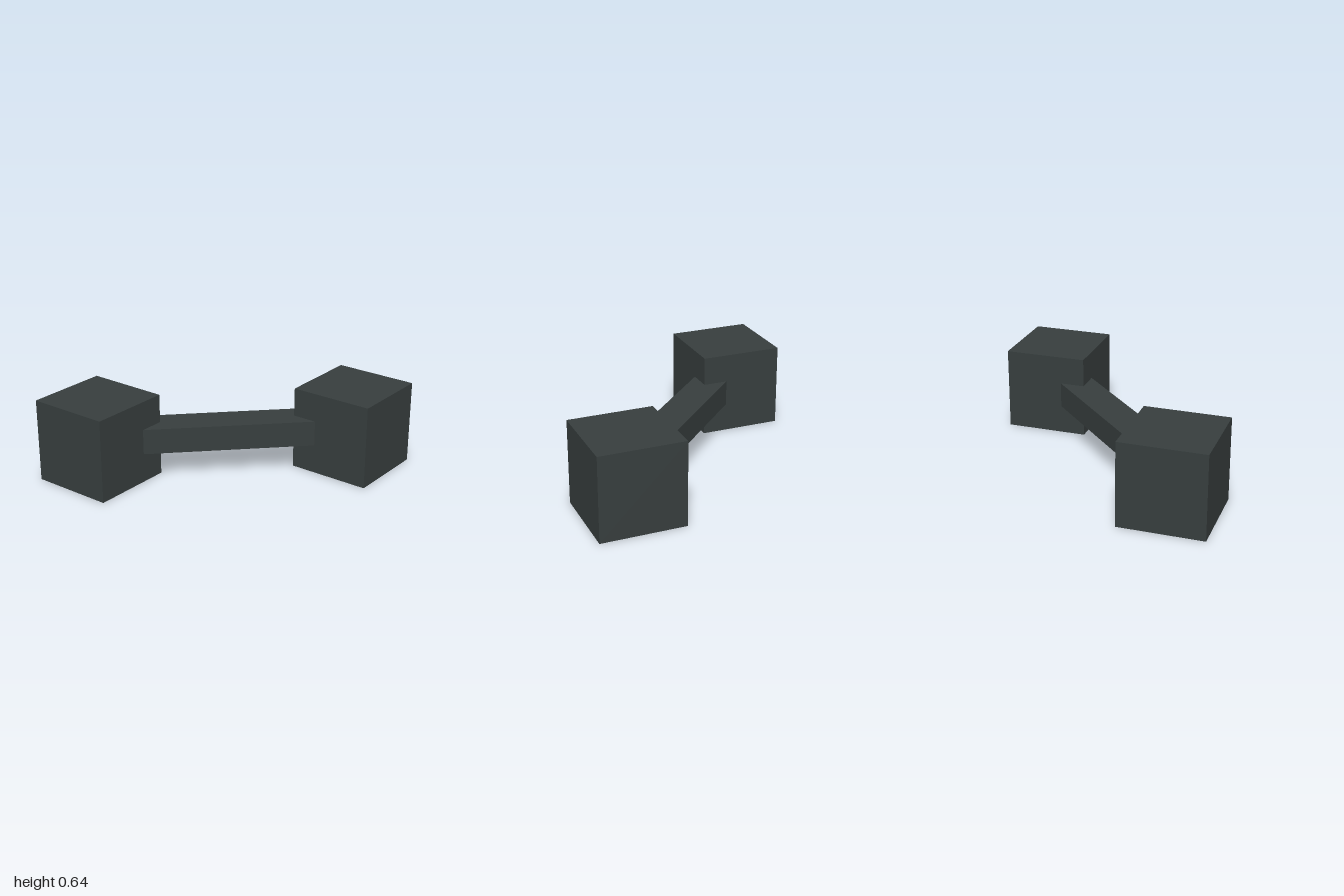
import * as THREE from 'three';

export function createModel() {
  const model = new THREE.Group();
  model.name = 'dumbbell';
  const charcoal = new THREE.MeshStandardMaterial({ color: 0x373e3e });
  charcoal.name = 'charcoal';

  const size = 0.64; // edge of each cube weight
  const offset = 1 - size / 2;

  // Two cube weights at opposite corners
  for (const [name, side] of [['leftWeight', 1], ['rightWeight', -1]]) {
    const weight = new THREE.Mesh(new THREE.BoxGeometry(size, size, size), charcoal);
    weight.name = name;
    weight.position.set(side * offset, size / 2, side * offset);
    model.add(weight);
  }

  // Diagonal bar joining the cube centres
  const bar = new THREE.Mesh(
    new THREE.BoxGeometry(2 * offset * Math.SQRT2, 0.196, 0.27), charcoal);
  bar.name = 'connectingBar';
  bar.position.y = size / 2 + 0.002;
  bar.rotation.y = -Math.PI / 4;
  model.add(bar);

  return model;
}
